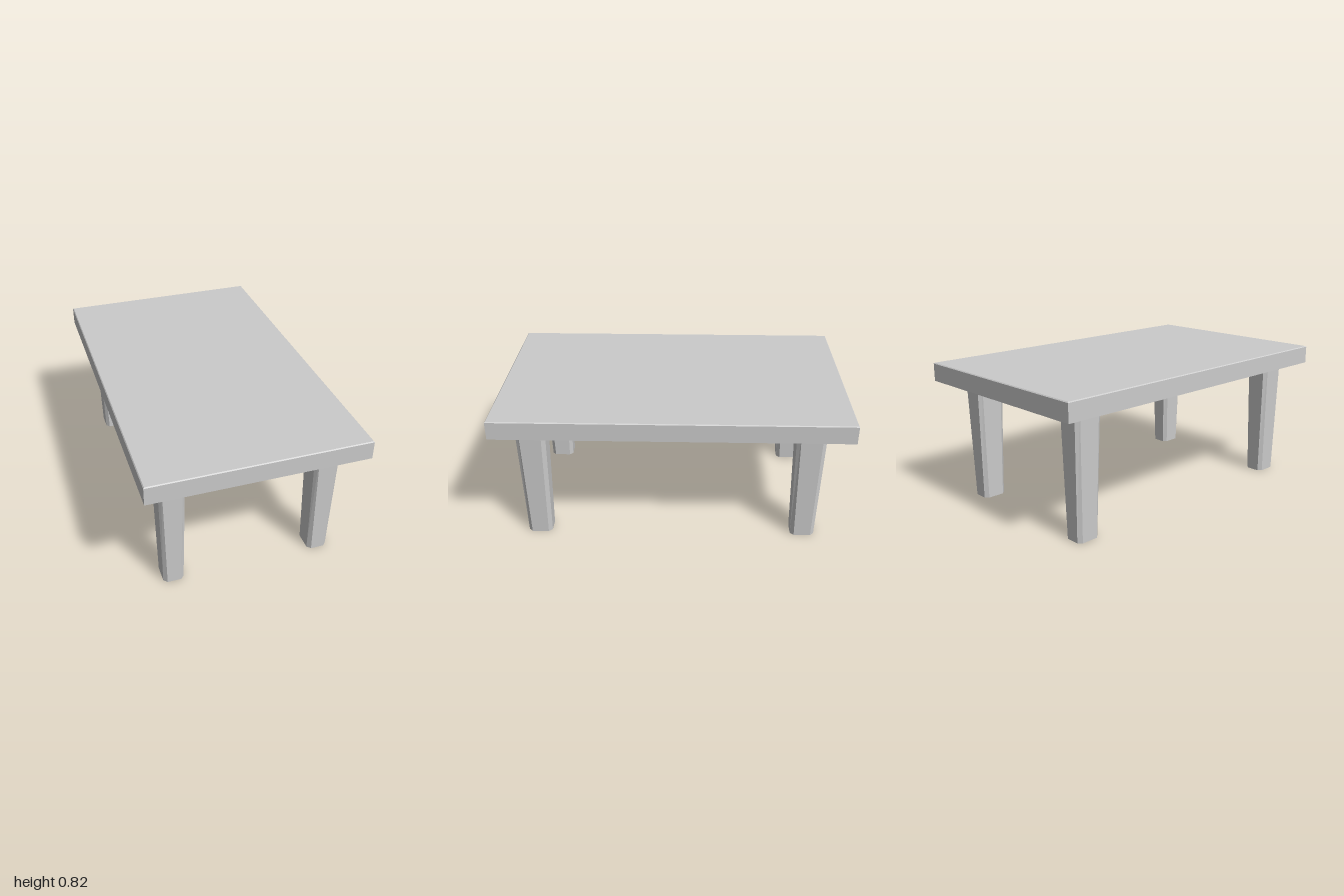
import * as THREE from 'three';

const material = new THREE.MeshStandardMaterial({ color: 0xcccccc, flatShading: true });

// Horizontal rectangle outline at height y, with optional cut corners (cx, cz)
function ring(hx, hz, y, cx = 0, cz = 0) {
  const points = cx === 0
    ? [[-hx, hz], [hx, hz], [hx, -hz], [-hx, -hz]]
    : [[-hx + cx, hz], [hx - cx, hz], [hx, hz - cz], [hx, -hz + cz],
      [hx - cx, -hz], [-hx + cx, -hz], [-hx, -hz + cz], [-hx, hz - cz]];
  return points.map(([x, z]) => new THREE.Vector3(x, y, z));
}

// Skin a sequence of rings into a flat-shaded solid, capped at both ends
function loft(rings) {
  const triangles = [];
  const n = rings[0].length;
  for (let r = 0; r + 1 < rings.length; r++) {
    for (let i = 0; i < n; i++) {
      const j = (i + 1) % n;
      const a = rings[r][i], b = rings[r][j], c = rings[r + 1][j], d = rings[r + 1][i];
      triangles.push(a, b, c, a, c, d);
    }
  }
  const first = rings[0], last = rings[rings.length - 1];
  for (let i = 1; i + 1 < n; i++) {
    triangles.push(first[0], first[i + 1], first[i], last[0], last[i], last[i + 1]);
  }
  const geometry = new THREE.BufferGeometry().setFromPoints(triangles);
  geometry.computeVertexNormals();
  return geometry;
}

function addPart(group, name, geometry, x = 0, z = 0) {
  const mesh = new THREE.Mesh(geometry, material);
  mesh.name = name;
  mesh.position.set(x, 0, z);
  group.add(mesh);
}

export function createModel() {
  const table = new THREE.Group();
  table.name = 'table';

  // Tabletop: hollow underside, wide rim, fine bevel around the upper edge
  addPart(table, 'tabletop', loft([
    ring(0.465, 0.825, 0.785),
    ring(0.465, 0.825, 0.715),
    ring(0.612, 1, 0.715),
    ring(0.612, 1, 0.818),
    ring(0.607, 0.995, 0.823),
  ]));

  // Legs: tapered, with chamfered corners, reaching into the hollow
  const leg = loft([
    ring(0.059, 0.07, 0, 0.02, 0.021),
    ring(0.075, 0.087, 0.79, 0.017, 0.023),
  ]);
  for (const [end, z] of [['front', 0.792], ['back', -0.78]]) {
    for (const [side, x] of [['Left', 0.431], ['Right', -0.4375]]) {
      addPart(table, `${end}${side}Leg`, leg, x, z);
    }
  }
  return table;
}
